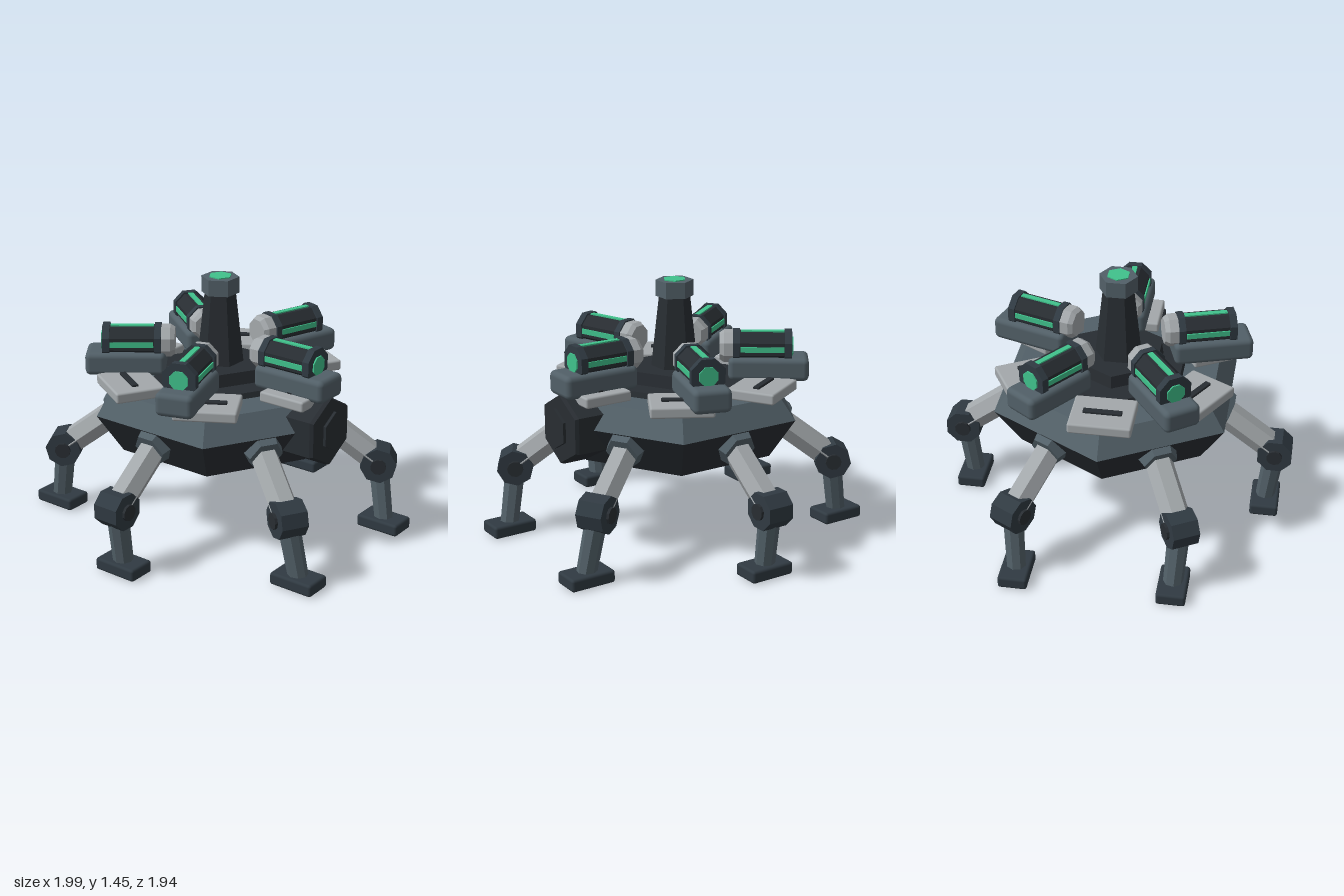
import * as THREE from 'three';
import { RoundedBoxGeometry } from 'three/addons/geometries/RoundedBoxGeometry.js';

const paint = (name, color) => {
  const m = new THREE.MeshStandardMaterial({ color });
  m.name = name;
  return m;
};

export function createModel() {
  const light = paint('lightGrey', 0xa3a8ab);
  const grey = paint('slateGrey', 0x526068);
  const dark = paint('darkSteel', 0x303a42);
  const black = paint('charcoal', 0x282d32);
  const green = paint('glowGreen', 0x40c28c);

  const model = new THREE.Group();
  model.name = 'walkerPlatform';

  const add = (parent, name, geo, mat) => {
    const mesh = new THREE.Mesh(geo, mat);
    mesh.name = name;
    parent.add(mesh);
    return mesh;
  };
  const facet = (geo) => {
    const g = geo.index ? geo.toNonIndexed() : geo;
    g.computeVertexNormals();
    return g;
  };
  // upright faceted prism from y0 to y1
  const prism = (parent, name, mat, r0, r1, y0, y1, sides = 6, turn = 0) => {
    const g = new THREE.CylinderGeometry(r1, r0, y1 - y0, sides);
    g.rotateY(turn).translate(0, (y0 + y1) / 2, 0);
    return add(parent, name, facet(g), mat);
  };
  // faceted rod between two points
  const rod = (parent, name, mat, a, b, r0, r1 = r0, sides = 6, turn = 0) => {
    const p = new THREE.Vector3(...a), q = new THREE.Vector3(...b);
    const d = q.clone().sub(p);
    const g = new THREE.CylinderGeometry(r1, r0, d.length(), sides);
    g.rotateY(turn);
    const mesh = add(parent, name, facet(g), mat);
    mesh.position.copy(p).add(q).multiplyScalar(0.5);
    mesh.quaternion.setFromUnitVectors(new THREE.Vector3(0, 1, 0), d.normalize());
    return mesh;
  };
  const block = (parent, name, mat, w, h, d, x, y, z, r = 0.02) => {
    const mesh = add(parent, name, new RoundedBoxGeometry(w, h, d, 2, r), mat);
    mesh.position.set(x, y, z);
    return mesh;
  };
  const spoke = (name, angle) => {
    const g = new THREE.Group();
    g.name = name;
    g.rotation.y = angle;
    model.add(g);
    return g;
  };

  // hull and stepped deck
  prism(model, 'lowerHull', black, 0.58, 0.73, 0.505, 0.73);
  prism(model, 'upperHull', grey, 0.73, 0.635, 0.73, 0.855);
  prism(model, 'deck', black, 0.42, 0.41, 0.855, 0.885);
  prism(model, 'towerBase', black, 0.27, 0.26, 0.885, 0.955);

  // central tower
  prism(model, 'tower', black, 0.13, 0.085, 0.95, 1.36, 6, Math.PI / 6);
  prism(model, 'towerCap', grey, 0.105, 0.105, 1.35, 1.44, 6, Math.PI / 6);
  prism(model, 'towerLamp', green, 0.065, 0.065, 1.438, 1.446);

  // front hatch
  rod(model, 'hatchHousing', black, [0, 0.71, 0.48], [0, 0.71, 0.72], 0.2);
  rod(model, 'hatchRim', black, [0, 0.71, 0.72], [0, 0.71, 0.74], 0.2, 0.19);
  rod(model, 'hatchPlate', black, [0, 0.72, 0.758], [0, 0.72, 0.774], 0.112);

  // six armour plates with vent slots
  for (let i = 0; i < 6; i++) {
    const g = spoke('armourPlate', i * Math.PI / 3);
    block(g, 'plate', light, 0.34, 0.06, 0.28, 0, 0.882, 0.53, 0.012);
    block(g, 'ventSlot', black, 0.21, 0.02, 0.036, 0, 0.915, 0.54, 0.005);
  }

  // five energy cells on brackets
  for (let i = 0; i < 5; i++) {
    const g = spoke('energyCell', i * Math.PI * 2 / 5);
    const y = 1.067, half = Math.PI / 8;
    const part = (name, mat, z0, z1, r0, r1 = r0) =>
      rod(g, name, mat, [0, y, z0], [0, y, z1], r0, r1, 8, half);
    block(g, 'bracket', grey, 0.21, 0.13, 0.445, 0, 0.955, 0.5225, 0.03);
    part('collarTip', light, 0.25, 0.275, 0.075, 0.092);
    part('collar', light, 0.275, 0.325, 0.092);
    part('innerRing', dark, 0.325, 0.362, 0.1);
    part('canister', black, 0.36, 0.615, 0.09);
    part('outerRing', dark, 0.61, 0.65, 0.1);
    part('endLamp', green, 0.65, 0.658, 0.055);
    // glowing strips on top, bottom and both sides
    for (let k = 0; k < 4; k++) {
      const s = new THREE.BoxGeometry(0.03, 0.009, 0.24);
      s.translate(0, 0.086, 0).rotateZ(k * Math.PI / 2);
      add(g, 'glowStrip', s, green).position.set(0, y, 0.487);
    }
  }

  // six legs: angle around the hull, ankle x and z
  const legs = [];
  for (const s of [1, -1]) {
    legs.push([s * Math.PI / 6, s * 0.43, 0.84]);
    legs.push([s * Math.PI / 2, s * 0.86, 0]);
    legs.push([s * Math.PI * 5 / 6, s * 0.43, -0.84]);
  }
  for (const [a, fx, fz] of legs) {
    const leg = new THREE.Group();
    leg.name = 'leg';
    model.add(leg);
    const sx = Math.sin(a), cz = Math.cos(a);
    const at = (r, y, side = 0) => [sx * r + cz * side, y, cz * r - sx * side];
    const ky = 0.385;
    rod(leg, 'hip', grey, at(0.47, 0.69), at(0.63, 0.625), 0.145, 0.095);
    rod(leg, 'upperLeg', light, at(0.56, 0.645), at(0.88, 0.405), 0.078);
    rod(leg, 'knee', dark, at(0.9, ky, -0.075), at(0.9, ky, 0.075), 0.103, 0.103, 8, Math.PI / 8);
    rod(leg, 'kneePin', black, at(0.9, ky, -0.09), at(0.9, ky, 0.09), 0.045, 0.045, 10);
    rod(leg, 'lowerLeg', grey, at(0.9, ky), [fx, 0.06, fz], 0.06, 0.055, 8);
    block(leg, 'foot', dark, 0.16, 0.07, 0.26, fx, 0.035, fz, 0.015);
  }
  return model;
}
